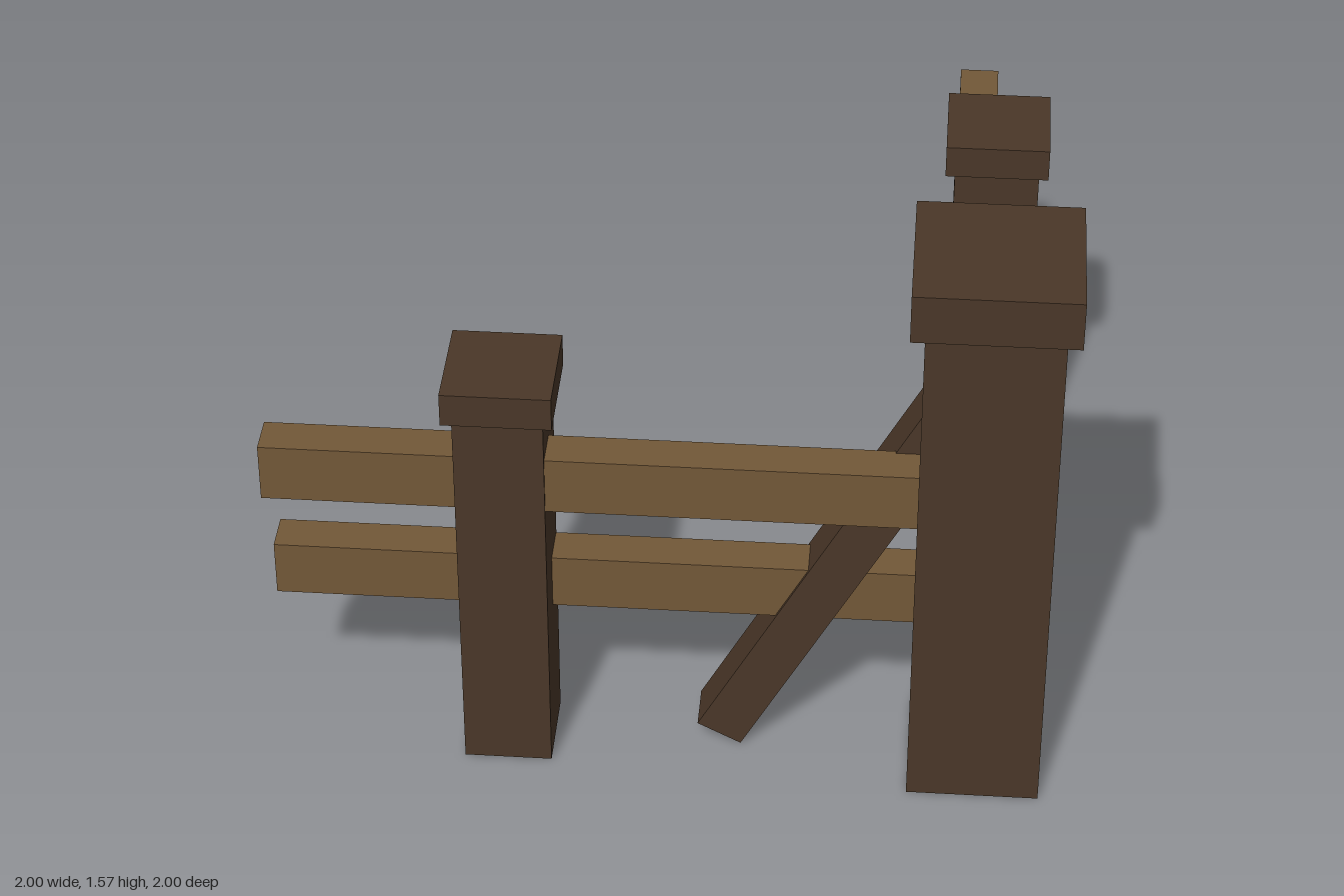
import * as THREE from 'three';

const darkWood = new THREE.MeshStandardMaterial({ color: 0x4a3728, flatShading: true });
const lightWood = new THREE.MeshStandardMaterial({ color: 0x725838, flatShading: true });

function addBox(parent, name, material, size, position) {
  const mesh = new THREE.Mesh(new THREE.BoxGeometry(...size), material);
  mesh.name = name;
  mesh.position.set(...position);
  parent.add(mesh);
  return mesh;
}

// Square post with a wider flat cap
function addPost(parent, name, x, width, height, capWidth, capHeight) {
  const post = new THREE.Group();
  post.name = name;
  post.position.x = x;
  const base = 0.003;
  addBox(post, name + 'Shaft', darkWood, [width, height - base, width], [0, (height + base) / 2, 0]);
  addBox(post, name + 'Cap', darkWood, [capWidth, capHeight, capWidth], [0, height + capHeight / 2, 0]);
  parent.add(post);
}

// One fence run leading away from the corner post along -x
function createFenceRun(name) {
  const run = new THREE.Group();
  run.name = name;
  addPost(run, 'sidePost', -1.198, 0.224, 1.085, 0.273, 0.09);

  // Rails sit side by side, the upper one on the +z half
  const railLength = 1.655, railX = -1.795 + railLength / 2;
  addBox(run, 'upperRail', lightWood, [railLength, 0.157, 0.105], [railX, 0.889, 0.053]);
  addBox(run, 'lowerRail', lightWood, [railLength, 0.152, 0.105], [railX, 0.502, -0.053]);

  // Slanted brace from the ground into the corner post
  const angle = Math.atan2(0.881, 0.473), length = 1.25;
  const brace = addBox(run, 'brace', darkWood, [length, 0.127, 0.128], [
    -0.659 + Math.cos(angle) * length / 2,
    0.03 + Math.sin(angle) * length / 2,
    -0.055,
  ]);
  brace.rotation.z = angle;
  return run;
}

export function createModel() {
  const model = new THREE.Group();
  model.name = 'cornerFence';

  const corner = new THREE.Group();
  corner.name = 'corner';
  corner.position.set(0.796, 0, 0.796);
  model.add(corner);

  addPost(corner, 'cornerPost', 0, 0.336, 1.442, 0.406, 0.13);

  // Two identical runs at a right angle
  corner.add(createFenceRun('frontFence'));
  const sideFence = createFenceRun('sideFence');
  sideFence.rotation.y = -Math.PI / 2;
  corner.add(sideFence);

  return model;
}
